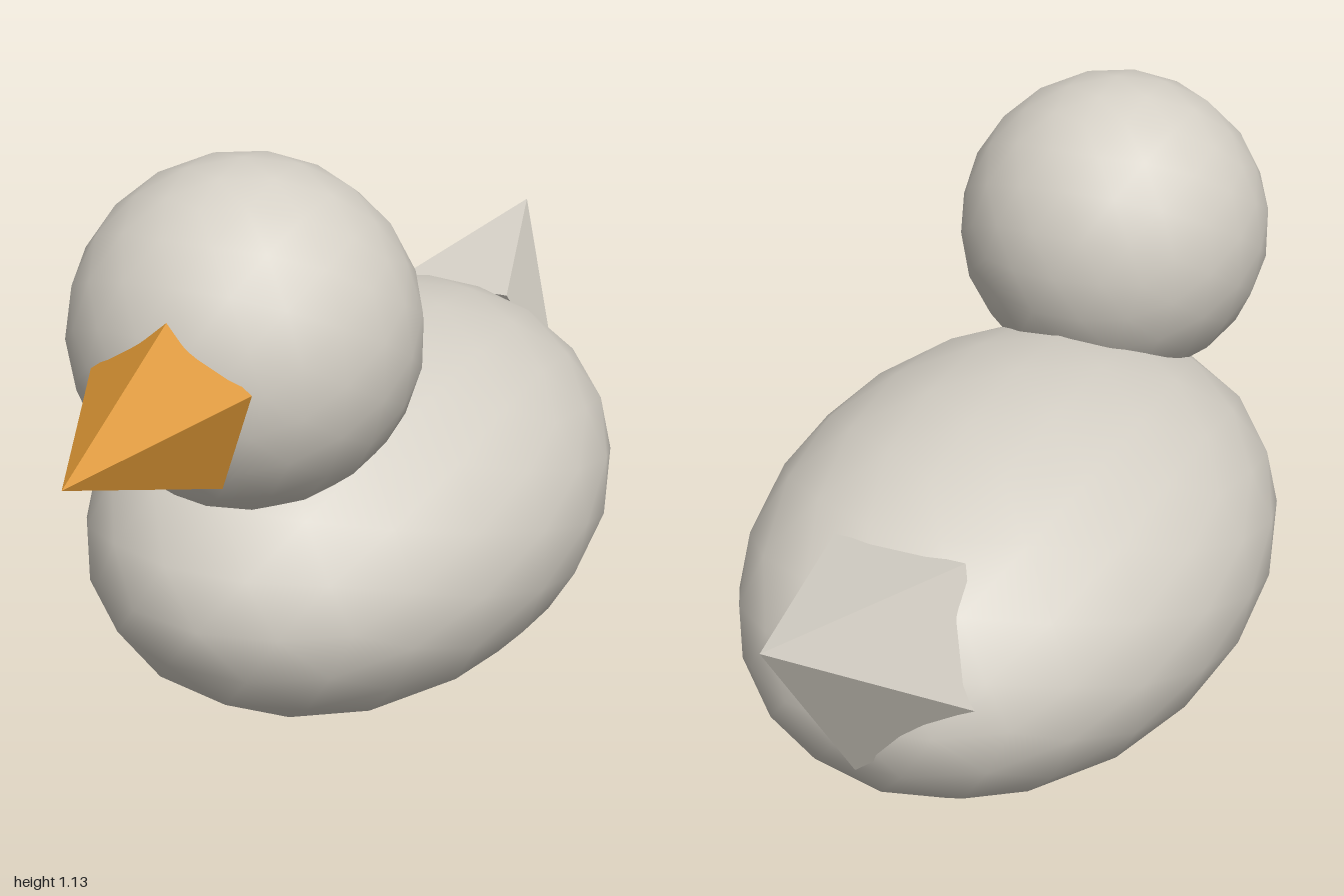
import * as THREE from 'three';

export function createModel() {
  const duck = new THREE.Group();
  duck.name = 'duck';

  const feather = new THREE.MeshStandardMaterial({ color: 0xd5d0c6 });
  feather.name = 'pale grey feathers';
  const orange = new THREE.MeshStandardMaterial({ color: 0xd99434 });
  orange.name = 'orange beak';

  function add(name, geometry, material) {
    const mesh = new THREE.Mesh(geometry, material);
    mesh.name = name;
    duck.add(mesh);
  }

  // Smooth faceted ball stretched to the given radii
  function ball(rx, ry, rz, y, z) {
    return new THREE.IcosahedronGeometry(1, 3)
      .rotateY(Math.PI / 2)
      .scale(rx, ry, rz)
      .translate(0, y, z);
  }

  // Flat-sided five-sided spike, tilted about x, with its tip at (0, y, z)
  function spike(radius, height, tilt, y, z) {
    const geometry = new THREE.ConeGeometry(radius, height, 5)
      .translate(0, -height / 2, 0)
      .rotateY(Math.PI)
      .rotateX(tilt)
      .translate(0, y, z)
      .toNonIndexed();
    geometry.computeVertexNormals();
    return geometry;
  }

  add('body', ball(0.462, 0.36, 0.67, 0.36, -0.07), feather);
  add('head', ball(0.3, 0.3, 0.3, 0.83, 0.395), feather);
  add('beak', spike(0.15, 0.337, Math.PI / 2, 0.79, 1), orange);
  add('tail', spike(0.207, 0.427, 0.505 - Math.PI / 2, 0.66, -1), feather);

  return duck;
}
